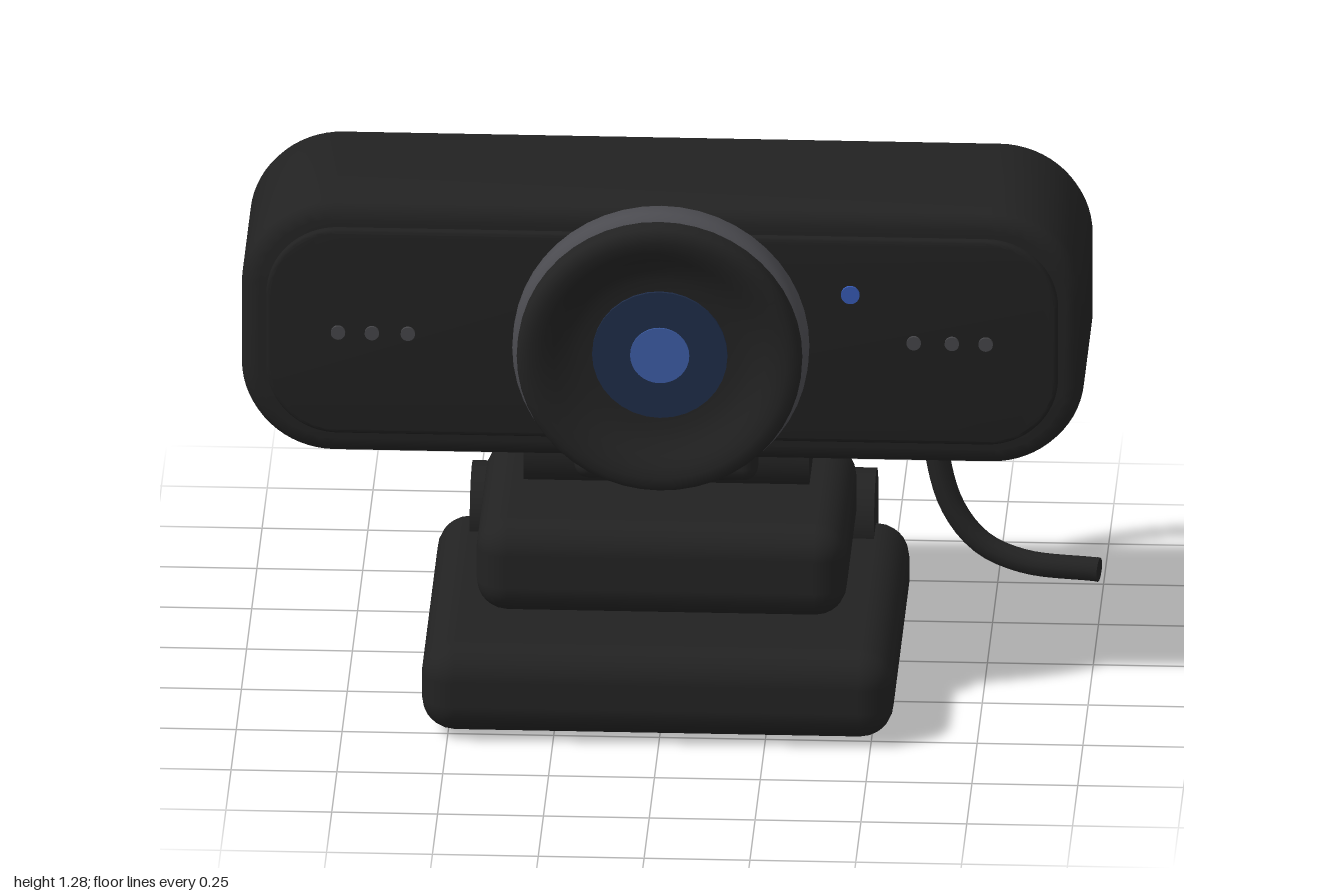
import * as THREE from 'three';
import { RoundedBoxGeometry } from 'three/addons/geometries/RoundedBoxGeometry.js';
import { toCreasedNormals } from 'three/addons/utils/BufferGeometryUtils.js';

const CX = -0.005; // shared centre line of housing and stand
const LENS_Y = 0.93;

function material(name, color) {
  const m = new THREE.MeshStandardMaterial({ color });
  m.name = name;
  return m;
}

// Rounded rectangle centred on the origin
function roundedRect(w, h, r) {
  const s = new THREE.Shape();
  const x = w / 2, y = h / 2;
  s.moveTo(-x + r, -y);
  s.lineTo(x - r, -y);
  s.absarc(x - r, -y + r, r, -Math.PI / 2, 0);
  s.lineTo(x, y - r);
  s.absarc(x - r, y - r, r, 0, Math.PI / 2);
  s.lineTo(-x + r, y);
  s.absarc(-x + r, y - r, r, Math.PI / 2, Math.PI);
  s.lineTo(-x, -y + r);
  s.absarc(-x + r, -y + r, r, Math.PI, Math.PI * 1.5);
  return s;
}

// Slab with softened edges, facing +z, spanning z0..z1
function slab(w, h, r, z0, z1, bevel) {
  const g = new THREE.ExtrudeGeometry(roundedRect(w - 2 * bevel, h - 2 * bevel, r - bevel), {
    depth: z1 - z0 - 2 * bevel, bevelThickness: bevel, bevelSize: bevel,
    bevelSegments: 3, curveSegments: 8,
  });
  g.translate(0, 0, z0 + bevel);
  return toCreasedNormals(g, 0.6);
}

export function createModel() {
  const model = new THREE.Group();
  model.name = 'webcam';

  const black = material('black plastic', 0x222222);
  const faceBlack = material('face black', 0x202020);
  const trim = material('grey trim', 0x4b4b50);
  const glass = material('dark blue glass', 0x1e2c48);
  const pupil = material('blue lens', 0x3c5ca4);
  const led = material('blue light', 0x3558b0);
  const hole = material('microphone grey', 0x444447);

  const add = (name, geometry, mat, x = 0, y = 0, z = 0) => {
    const mesh = new THREE.Mesh(geometry, mat);
    mesh.name = name;
    mesh.position.set(x, y, z);
    model.add(mesh);
    return mesh;
  };
  const box = (name, x, y0, y1, z0, z1, width, r) =>
    add(name, new RoundedBoxGeometry(width, y1 - y0, z1 - z0, 3, r), black, x, (y0 + y1) / 2, (z0 + z1) / 2);
  const barrel = (name, y, z, r, length) =>
    add(name, new THREE.CylinderGeometry(r, r, length, 32).rotateZ(Math.PI / 2), black, CX, y, z);
  const disc = (name, r, depth, mat, x, y, z) =>
    add(name, new THREE.CylinderGeometry(r, r, depth, 32).rotateX(Math.PI / 2), mat, x, y, z);
  const turned = (name, profile, mat) => {
    const g = new THREE.LatheGeometry(profile.map(([r, z]) => new THREE.Vector2(r, z)), 48);
    return add(name, toCreasedNormals(g.rotateX(Math.PI / 2), 0.7), mat, CX, LENS_Y, 0);
  };

  // Housing and front plate
  add('housing', slab(1.99, 0.64, 0.22, -0.215, 0.265, 0.04), black, CX, LENS_Y);
  add('facePlate', slab(1.87, 0.52, 0.17, 0.24, 0.283, 0.01), faceBlack, CX, LENS_Y);

  // Lens barrel with dished front, grey trim band and glass
  turned('lensBarrel', [
    [0, 0.275], [0.335, 0.282], [0.337, 0.41], [0.332, 0.422], [0.318, 0.43], [0.30, 0.43],
    [0.275, 0.424], [0.25, 0.41], [0.22, 0.395], [0.19, 0.386], [0.15, 0.382], [0, 0.382],
  ], black);
  turned('trimBand', [
    [0.33, 0.288], [0.343, 0.297], [0.35, 0.315], [0.35, 0.36], [0.344, 0.377], [0.33, 0.386],
  ], trim);
  disc('lensGlass', 0.16, 0.008, glass, CX, LENS_Y, 0.386);
  disc('lensCentre', 0.07, 0.008, pupil, CX, LENS_Y, 0.390);

  // Microphone dots and status light
  for (const x of [-0.77, -0.69, -0.605, 0.59, 0.68, 0.76])
    disc('microphoneDot', 0.017, 0.009, hole, x, LENS_Y, 0.286);
  disc('statusLight', 0.022, 0.009, led, 0.44, 1.05, 0.286);

  // Neck and tilting joint
  box('neckBlock', CX, 0.49, 0.66, -0.145, 0.115, 0.435, 0.035);
  barrel('neckBarrel', 0.53, -0.035, 0.11, 0.675);
  add('neckPlate', new THREE.BoxGeometry(0.675, 0.09, 0.2), black, CX, 0.575, -0.04);

  // Folding clip stand
  box('upperClip', CX, 0.24, 0.47, -0.255, 0.365, 0.875, 0.075);
  barrel('clipHinge', 0.243, -0.305, 0.115, 0.955);
  box('lowerClip', CX, 0.012, 0.232, -0.355, 0.565, 1.115, 0.08);
  add('footPad', new THREE.BoxGeometry(0.915, 0.02, 0.675), faceBlack, CX, 0.01, 0.1025);

  // Cable with its strain relief
  disc('cableGland', 0.06, 0.14, black, 0.59, LENS_Y, -0.265);
  const path = new THREE.CatmullRomCurve3([
    [0.59, 0.93, -0.30], [0.59, 0.915, -0.38], [0.59, 0.865, -0.455], [0.59, 0.75, -0.505],
    [0.59, 0.52, -0.535], [0.60, 0.35, -0.53], [0.64, 0.19, -0.52], [0.71, 0.10, -0.508],
    [0.81, 0.06, -0.49], [0.99, 0.055, -0.457],
  ].map((p) => new THREE.Vector3(...p)));
  add('cable', new THREE.TubeGeometry(path, 48, 0.029, 12), black);
  // Closed cable tip
  const tip = add('cableTip', new THREE.CylinderGeometry(0.029, 0.029, 0.008, 12), black, 0.988, 0.055, -0.457);
  tip.quaternion.setFromUnitVectors(new THREE.Vector3(0, 1, 0), path.getTangent(1));

  return model;
}
